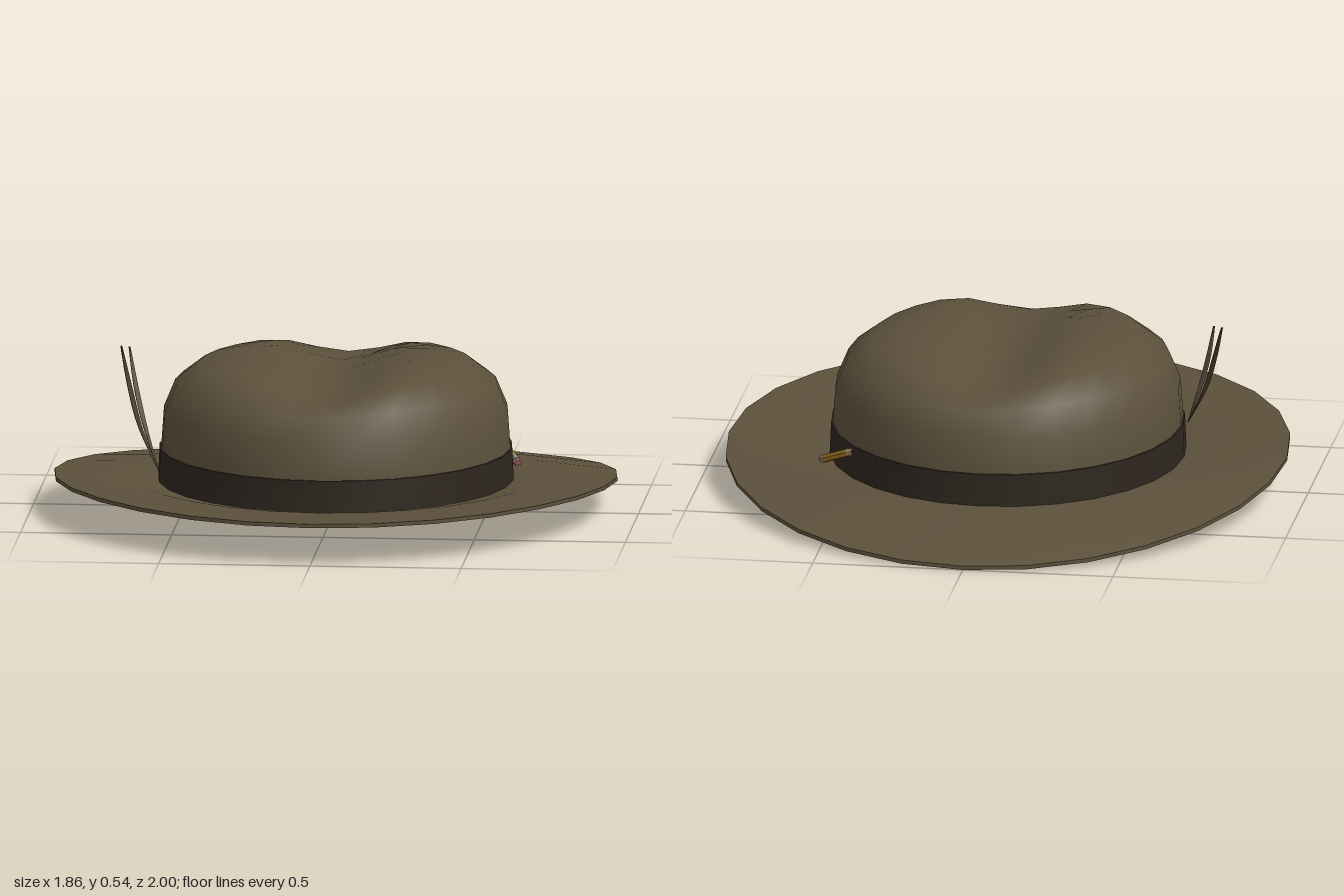
import * as THREE from 'three';
import { toCreasedNormals } from 'three/addons/utils/BufferGeometryUtils.js';

const SIDES = 28;
const FELT = 0x5b503b, RIBBON = 0x2e261f;

// Skin a stack of oval rings; each ring is [rx, rz, y] with y a number or a rule of (x, z)
function loft(rings, crease = 0.7) {
  const pos = [], index = [];
  for (const [rx, rz, y] of rings) {
    for (let j = 0; j < SIDES; j++) {
      const a = (j / SIDES) * Math.PI * 2;
      const x = rx * Math.sin(a), z = rz * Math.cos(a);
      pos.push(x, typeof y === 'function' ? y(x, z) : y, z);
    }
  }
  for (let i = 0; i < rings.length - 1; i++) {
    for (let j = 0; j < SIDES; j++) {
      const k = (j + 1) % SIDES;
      const a = i * SIDES + j, b = i * SIDES + k, c = b + SIDES, d = a + SIDES;
      index.push(a, b, c);
      if (rings[i + 1][0] > 0) index.push(a, c, d);
    }
  }
  // a closing ring at the centre collapses to a point, so its fan needs one triangle per side
  const geo = new THREE.BufferGeometry();
  geo.setAttribute('position', new THREE.Float32BufferAttribute(pos, 3));
  geo.setIndex(index);
  return toCreasedNormals(geo, crease);
}

function part(name, geo, color, doubleSide = false) {
  const mat = new THREE.MeshStandardMaterial({ color });
  if (doubleSide) mat.side = THREE.DoubleSide;
  const mesh = new THREE.Mesh(geo, mat);
  mesh.name = name;
  return mesh;
}

// Brim: thin closed section whose edge droops at the back and lifts at the front
function makeBrim() {
  const edge = (z) => 0.116 + 0.0635 * z - 0.0445 * z * z;
  const mid = (lift) => (x, z) => 0.105 + 0.25 * (edge(z / 0.73) - 0.105) + lift;
  return part('brim', loft([
    [0.582, 0.628, 0.085],
    [0.69, 0.73, mid(-0.018)],
    [0.93, 1, (x, z) => edge(z) - 0.006],
    [0.93, 1, (x, z) => edge(z) + 0.007],
    [0.69, 0.73, mid(0.016)],
    [0.582, 0.628, 0.108],
    [0.582, 0.628, 0.085],
  ]), FELT);
}

// Crown: open shell with a crease running front to back along the top
function makeCrown() {
  const profile = [
    [1, 0.095, 0], [0.995, 0.215, 0], [0.98, 0.34, 0], [0.915, 0.43, 0.25], [0.78, 0.49, 0.7],
    [0.62, 0.511, 1], [0.46, 0.522, 1], [0.3, 0.524, 1], [0.15, 0.525, 1], [0, 0.525, 1],
  ];
  const crease = (x) => (Math.abs(x) < 0.27 ? 0.0375 * (1 + Math.cos((Math.PI * x) / 0.27)) : 0);
  return part('crown', loft(profile.map(([r, y, dent]) =>
    [0.58 * r, 0.625 * r, (x) => y - dent * crease(x)]), 1.2), FELT, true);
}

// Ribbon band around the foot of the crown
function makeBand() {
  return part('band', loft([
    [0.58, 0.625, 0.1], [0.588, 0.633, 0.1], [0.583, 0.628, 0.215], [0.577, 0.622, 0.215],
  ]), RIBBON, true);
}

// Feather: two slender vanes that part at the tip
function makeFeather() {
  const group = new THREE.Group();
  group.name = 'feather';
  const root = new THREE.Vector3(-0.568, 0.16, 0.21);
  const vanes = [
    ['outerVane', 0x4a3826, [-0.635, 0.3, 0.16], [-0.672, 0.42, 0.11], [-0.706, 0.545, 0.045]],
    ['innerVane', 0x6a5a46, [-0.615, 0.3, 0.18], [-0.65, 0.42, 0.12], [-0.678, 0.545, 0.055]],
  ];
  for (const [name, color, ...pts] of vanes) {
    const curve = new THREE.CatmullRomCurve3([root, ...pts.map((p) => new THREE.Vector3(...p))]);
    const rows = 10, pos = [], index = [];
    for (let i = 0; i <= rows; i++) {
      const t = i / rows, c = curve.getPoint(t);
      const w = 0.003 + 0.014 * Math.sin(Math.PI * Math.min(1, t * 0.92));
      // diamond cross-section along the path
      pos.push(c.x - w * 0.5, c.y, c.z, c.x, c.y, c.z + w, c.x + w * 0.5, c.y, c.z, c.x, c.y, c.z - w);
      for (let j = 0; i < rows && j < 4; j++) {
        const a = i * 4 + j, b = i * 4 + ((j + 1) % 4);
        index.push(a, b, b + 4, a, b + 4, a + 4);
      }
    }
    const geo = new THREE.BufferGeometry();
    geo.setAttribute('position', new THREE.Float32BufferAttribute(pos, 3));
    geo.setIndex(index);
    geo.computeVertexNormals();
    group.add(part(name, geo, color, true));
  }
  return group;
}

// Pencil tucked into the band, rubber end low and point up
function makePencil() {
  const group = new THREE.Group();
  group.name = 'pencil';
  const start = new THREE.Vector3(0.583, 0.118, -0.235), end = new THREE.Vector3(0.447, 0.222, -0.46);
  const length = start.distanceTo(end);
  const pieces = [
    ['eraser', 0, 0.06, 0.013, 0.013, 0xa5666a],
    ['ferrule', 0.06, 0.13, 0.0145, 0.0145, 0x8a8a86],
    ['pencilBody', 0.13, 0.87, 0.014, 0.014, 0xa87c22],
    ['pencilWood', 0.87, 0.97, 0.014, 0.004, 0xb59a72],
    ['pencilPoint', 0.97, 1, 0.004, 0.0005, 0x2a2a2a],
  ];
  for (const [name, from, to, r0, r1, color] of pieces) {
    const geo = new THREE.CylinderGeometry(r1, r0, (to - from) * length, 6);
    geo.translate(0, ((from + to) / 2) * length, 0);
    const mesh = part(name, geo, color);
    mesh.material.flatShading = true;
    group.add(mesh);
  }
  group.position.copy(start);
  group.quaternion.setFromUnitVectors(new THREE.Vector3(0, 1, 0), end.clone().sub(start).normalize());
  return group;
}

export function createModel() {
  const hat = new THREE.Group();
  hat.name = 'hat';
  hat.add(makeBrim(), makeCrown(), makeBand(), makeFeather(), makePencil());
  return hat;
}
